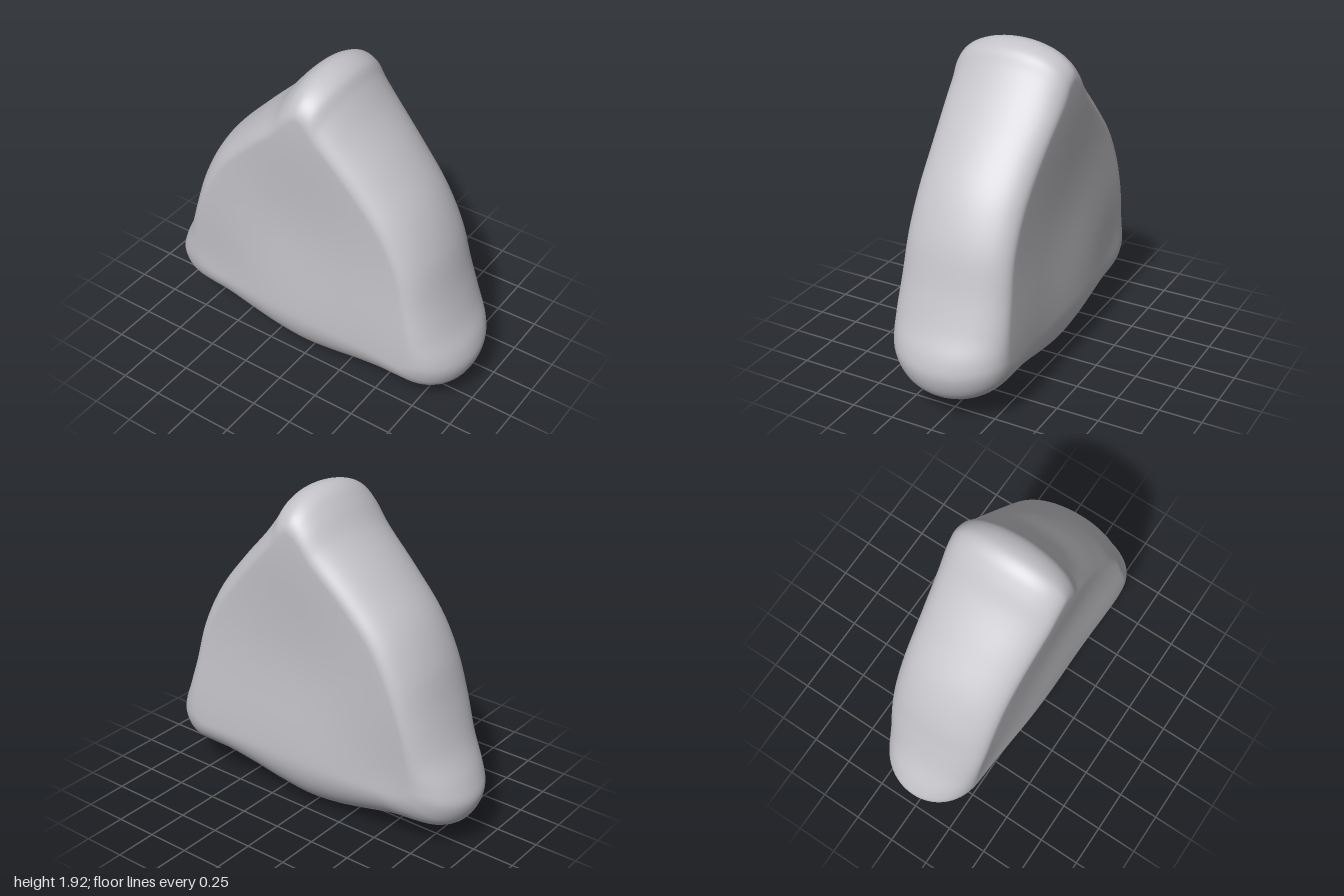
import * as THREE from 'three';

// Paired points: outer silhouette x, y and the rim of the flat face x, y
const RIM = [
  [0.04, 1.92, 0.03, 1.73], [0.14, 1.885, 0.08, 1.70], [0.2, 1.8, 0.13, 1.63],
  [0.3, 1.665, 0.21, 1.55], [0.48, 1.465, 0.38, 1.36], [0.65, 1.25, 0.53, 1.17],
  [0.77, 1.01, 0.64, 0.96], [0.85, 0.74, 0.70, 0.72], [0.915, 0.56, 0.74, 0.55],
  [0.98, 0.42, 0.75, 0.44], [0.995, 0.32, 0.74, 0.39], [0.95, 0.2, 0.71, 0.37],
  [0.87, 0.142, 0.67, 0.36], [0.76, 0.128, 0.61, 0.36], [0.6, 0.118, 0.5, 0.36],
  [0.4, 0.078, 0.35, 0.36], [0.2, 0.03, 0.18, 0.36], [0, 0.003, 0, 0.36],
  [-0.2, 0.022, -0.18, 0.36], [-0.4, 0.066, -0.35, 0.36], [-0.6, 0.113, -0.5, 0.36],
  [-0.76, 0.128, -0.6, 0.36], [-0.87, 0.145, -0.66, 0.37], [-0.95, 0.2, -0.7, 0.38],
  [-1, 0.32, -0.73, 0.41], [-0.97, 0.43, -0.74, 0.46], [-0.88, 0.61, -0.73, 0.58],
  [-0.8, 0.83, -0.68, 0.80], [-0.72, 1.07, -0.6, 1.01], [-0.6, 1.29, -0.49, 1.2],
  [-0.4, 1.51, -0.3, 1.41], [-0.2, 1.71, -0.12, 1.58], [-0.1, 1.835, -0.05, 1.67],
  [-0.03, 1.9, 0, 1.715],
];

const loop = (i) => new THREE.CatmullRomCurve3(
  RIM.map((p) => new THREE.Vector3(p[i], p[i + 1], 0)), true);

const bump = (x, y, cx, cy, r) => Math.exp(-((x - cx) ** 2 + (y - cy) ** 2) / (r * r));

// Half thickness: slightly hollow middle, thick top and left foot, thin right foot
const halfThickness = (x, y) => 0.318
  - 0.012 * bump(x, y, 0, 0.95, 0.4)
  + 0.03 * bump(x, y, 0.03, 1.72, 0.45)
  + 0.03 * bump(x, y, 0.72, 0.4, 0.4)
  - 0.028 * bump(x, y, -0.7, 0.4, 0.35)
  + 0.016 * bump(x, y, 0, 0.36, 0.4);

function pebbleGeometry(columns = 204, faceRows = 16, edgeRows = 36) {
  const outer = loop(0), inner = loop(2);
  const centre = new THREE.Vector3(0, 0.85, 0);
  const rows = [];
  // Front face from centre to rim, round the edge, then the back face to its centre
  for (let i = 0; i < faceRows; i++) rows.push({ s: i / faceRows, a: Math.PI / 2 });
  for (let i = 0; i <= edgeRows; i++) rows.push({ s: 1, a: Math.PI * (0.5 - i / edgeRows) });
  for (let i = faceRows - 1; i >= 0; i--) rows.push({ s: i / faceRows, a: -Math.PI / 2 });

  const positions = [], indices = [];
  rows.forEach(({ s, a }, r) => {
    for (let c = 0; c < columns; c++) {
      const rim = inner.getPoint(c / columns);
      const p = centre.clone().lerp(rim, s);
      const z = halfThickness(p.x, p.y) * Math.sin(a);
      if (s === 1) p.lerp(outer.getPoint(c / columns), Math.cos(a));
      positions.push(p.x, p.y, z);
      if (r === 0) continue;
      const d = (c + 1) % columns, k = r * columns, j = k - columns;
      indices.push(j + c, j + d, k + c, j + d, k + d, k + c);
    }
  });
  const geometry = new THREE.BufferGeometry();
  geometry.setAttribute('position', new THREE.Float32BufferAttribute(positions, 3));
  geometry.setIndex(indices);
  geometry.computeVertexNormals();
  return geometry;
}

export function createModel() {
  const group = new THREE.Group();
  group.name = 'roundedTriangle';
  const paleGrey = new THREE.MeshStandardMaterial({ color: 0xc4c3c8 });
  paleGrey.name = 'paleGrey';
  const body = new THREE.Mesh(pebbleGeometry(), paleGrey);
  body.name = 'body';
  group.add(body);
  return group;
}
